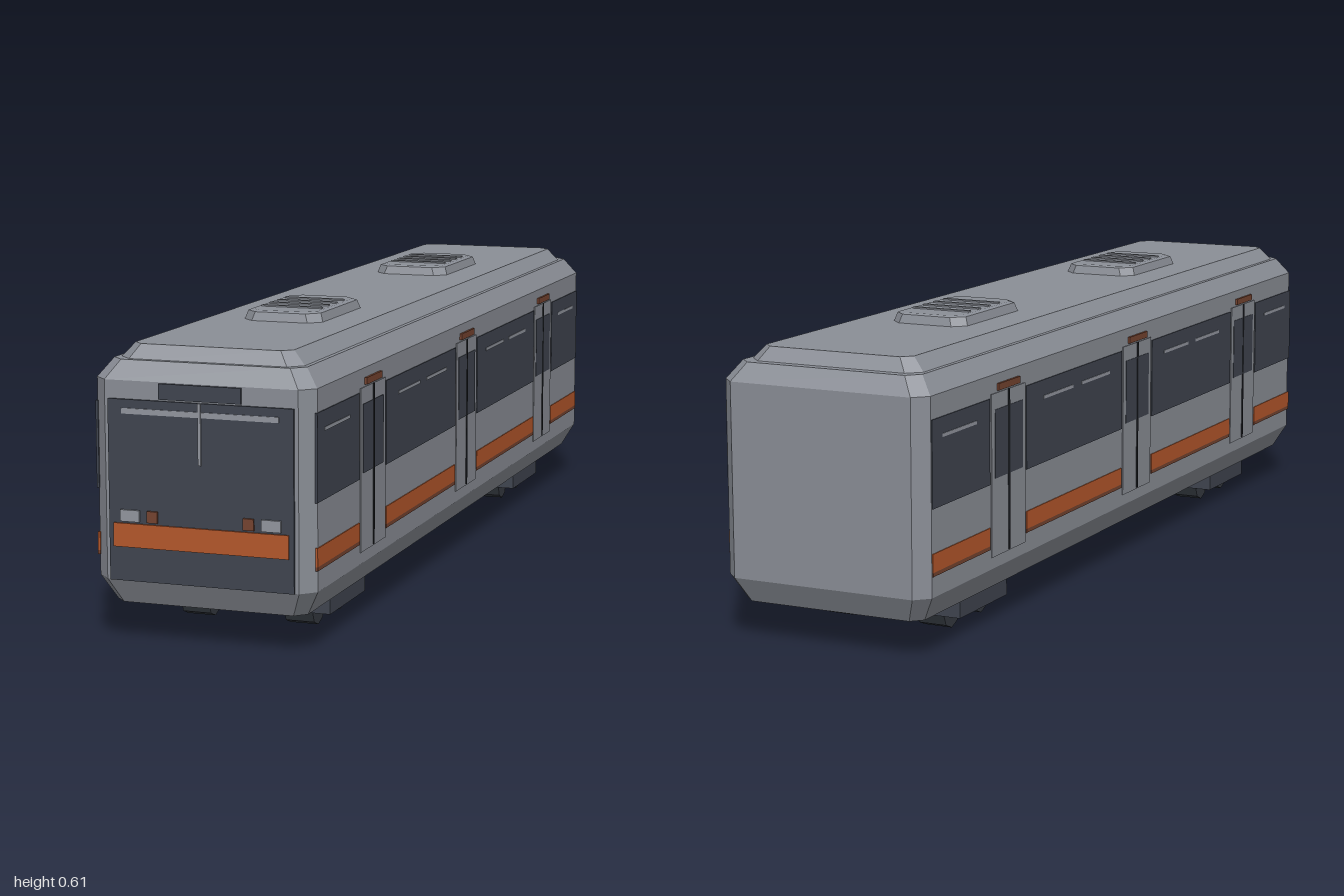
import * as THREE from 'three';

const mat = (name, color) => {
  const m = new THREE.MeshStandardMaterial({ color });
  m.name = name;
  return m;
};

// Stacked octagonal rings [y, halfX, halfZ, cornerCut], flat-shaded and capped
function loft(rings) {
  const loops = rings.map(([y, x, z, c]) => [
    [x, y, -z + c], [x, y, z - c], [x - c, y, z], [-x + c, y, z],
    [-x, y, z - c], [-x, y, -z + c], [-x + c, y, -z], [x - c, y, -z],
  ]);
  const pos = [];
  const tri = (a, b, c) => pos.push(...a, ...b, ...c);
  for (let r = 0; r < loops.length - 1; r++) {
    for (let i = 0; i < 8; i++) {
      const j = (i + 1) % 8, lo = loops[r], hi = loops[r + 1];
      tri(lo[i], hi[i], lo[j]);
      tri(lo[j], hi[i], hi[j]);
    }
  }
  const bottom = loops[0], top = loops[loops.length - 1];
  for (let i = 1; i < 7; i++) {
    tri(bottom[0], bottom[i], bottom[i + 1]);
    tri(top[0], top[i + 1], top[i]);
  }
  const g = new THREE.BufferGeometry();
  g.setAttribute('position', new THREE.Float32BufferAttribute(pos, 3));
  g.computeVertexNormals();
  return g;
}

export function createModel() {
  const body = mat('bodyGrey', 0x8a8e96);
  const dark = mat('darkGlass', 0x3f444f);
  const orange = mat('orangeStripe', 0xb4572b);
  const rust = mat('rustLamp', 0x75432f);
  const pale = mat('paleGrey', 0x92969f);
  const tyre = mat('wheelDark', 0x343940);
  const black = mat('seamBlack', 0x24272c);

  const group = new THREE.Group();
  const add = (name, geo, m, x = 0, y = 0, z = 0, parent = group) => {
    const mesh = new THREE.Mesh(geo, m);
    mesh.name = name;
    mesh.position.set(x, y, z);
    parent.add(mesh);
    return mesh;
  };
  // Box given by its extents
  const box = (name, m, x0, x1, y0, y1, z0, z1, parent) =>
    add(name, new THREE.BoxGeometry(x1 - x0, y1 - y0, z1 - z0), m,
      (x0 + x1) / 2, (y0 + y1) / 2, (z0 + z1) / 2, parent);

  // Shell and raised roof
  add('bodyShell', loft([
    [0.077, 0.2, 0.967, 0.022], [0.128, 0.228, 0.994, 0.028],
    [0.523, 0.228, 0.994, 0.028], [0.56, 0.2, 0.97, 0.025],
  ]), body, 0, 0, -0.004);
  add('roof', loft([[0.555, 0.195, 0.957, 0.028], [0.588, 0.165, 0.937, 0.02]]), body);

  // Roof units with louvres
  for (const z of [-0.425, 0.425]) {
    add('roofUnit', loft([
      [0.585, 0.087, 0.143, 0.025], [0.606, 0.08, 0.137, 0.025], [0.609, 0.072, 0.129, 0.022],
    ]), body, 0, 0, z);
    for (let i = 0; i < 4; i++) {
      const lz = z + (i - 1.5) * 0.045;
      box('roofLouvre', body, -0.066, 0.066, 0.608, 0.612, lz - 0.005, lz + 0.005);
    }
  }

  // Front end
  box('windshieldPanel', dark, -0.192, 0.192, 0.128, 0.487, 0.988, 0.995);
  box('destinationSign', dark, -0.085, 0.085, 0.49, 0.521, 0.988, 0.995);
  box('frontStripe', orange, -0.182, 0.182, 0.196, 0.243, 0.993, 0.999);
  box('windshieldBar', pale, -0.163, 0.163, 0.459, 0.47, 0.993, 0.997);
  box('windshieldDivider', pale, -0.003, 0.003, 0.366, 0.487, 0.993, 0.998);
  for (const s of [-1, 1]) {
    const lamp = (name, m, xc, w) =>
      box(name, m, s * xc - w / 2, s * xc + w / 2, 0.247, 0.27, 0.993, 1);
    lamp('headlight', pale, 0.147, 0.04);
    lamp('signalLamp', rust, 0.1, 0.022);
  }

  for (const s of [-1, 1]) {
    const side = new THREE.Group();
    side.name = s > 0 ? 'leftSide' : 'rightSide';
    group.add(side);
    // Thin plate on the side wall, out to the given depth
    const plate = (name, m, y0, y1, z0, z1, depth) => {
      const a = s * 0.225, b = s * (0.228 + depth);
      box(name, m, Math.min(a, b), Math.max(a, b), y0, y1, z0, z1, side);
    };

    // Window bays with stripe and glints
    for (const [z0, z1, glints] of [
      [0.725, 0.968, [0.855]], [0.083, 0.56, [0.409, 0.222]],
      [-0.56, -0.083, [-0.222, -0.409]], [-0.968, -0.725, [-0.855]],
    ]) {
      plate('sideWindow', dark, 0.303, 0.477, z0, z1, 0.002);
      plate('sideStripe', orange, 0.178, 0.215, z0, z1, 0.002);
      plate('stripeShadowLine', rust, 0.17, 0.178, z0, z1, 0.002);
      for (const g of glints) plate('windowGlint', pale, 0.437, 0.444, g - 0.072, g + 0.072, 0.003);
    }

    // Doors
    for (const z of [-0.642, 0, 0.642]) {
      plate('doorPanel', body, 0.152, 0.485, z - 0.076, z + 0.076, 0.002);
      plate('doorWindow', dark, 0.312, 0.452, z - 0.062, z + 0.062, 0.003);
      plate('doorSeam', black, 0.155, 0.485, z - 0.003, z + 0.003, 0.004);
      plate('doorLamp', rust, 0.489, 0.503, z - 0.048, z + 0.048, 0.005);
    }

    // Bogie frames and eight-sided wheels
    for (const zc of [-0.662, 0.662]) {
      box('bogieFrame', dark, s * 0.151 - 0.031, s * 0.151 + 0.031, 0.033, 0.08, zc - 0.105, zc + 0.105, side);
      for (const dz of [-0.065, 0.065]) {
        const wheel = new THREE.CylinderGeometry(0.035, 0.035, 0.061, 8).toNonIndexed();
        wheel.rotateZ(Math.PI / 2);
        wheel.computeVertexNormals();
        add('wheel', wheel, tyre, s * 0.112, 0.035, zc + dz, side);
      }
    }
  }
  return group;
}
